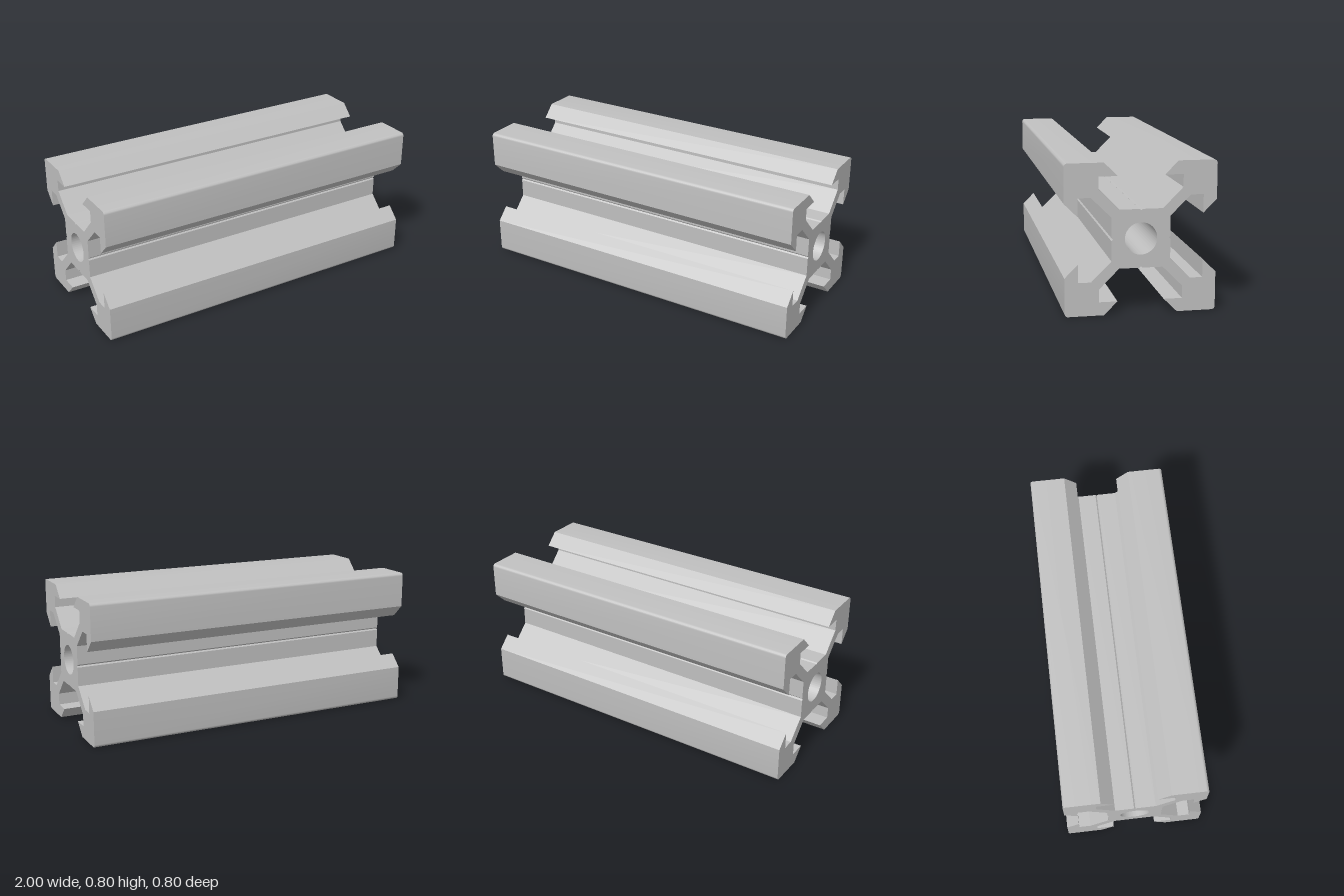
import * as THREE from 'three';
import { toCreasedNormals } from 'three/addons/utils/BufferGeometryUtils.js';

const LENGTH = 2, HALF = 0.4, FILLET = 0.018, BORE = 0.085;

// Half of one quarter of the section: from the groove on the core to the slot lip
const HALF_QUARTER = [
  [0.008, 0.155], [0.115, 0.155], [0.221, 0.262],
  [0.221, 0.329], [0.123, 0.329], [0.194, HALF],
];

function quarterOutline() {
  const corner = [];
  const c = HALF - FILLET, steps = 6;
  for (let i = 0; i <= steps; i++) {
    const a = (Math.PI / 2) * (1 - i / steps);
    corner.push([c + FILLET * Math.cos(a), c + FILLET * Math.sin(a)]);
  }
  const mirrored = HALF_QUARTER.map(([u, v]) => [v, u]).reverse();
  return [[0, 0.148], ...HALF_QUARTER, ...corner, ...mirrored];
}

function sectionShape() {
  // Repeat the quarter four times around the centre
  const points = [];
  let quarter = quarterOutline();
  for (let k = 0; k < 4; k++) {
    points.push(...quarter.map(([u, v]) => new THREE.Vector2(u, v)));
    quarter = quarter.map(([u, v]) => [v, -u]);
  }
  const shape = new THREE.Shape(points);

  // Central bore
  const bore = new THREE.Path();
  bore.absarc(0, 0, BORE, 0, Math.PI * 2, false);
  shape.holes.push(bore);
  return shape;
}

export function createModel() {
  const aluminium = new THREE.MeshStandardMaterial({ color: 0xc0c0c0 });
  aluminium.name = 'aluminium';

  // Slotted rail, extruded and laid along x
  let geometry = new THREE.ExtrudeGeometry(sectionShape(), {
    depth: LENGTH, bevelEnabled: false, curveSegments: 48,
  });
  geometry.translate(0, 0, -LENGTH / 2);
  geometry.rotateY(Math.PI / 2);
  geometry.translate(0, HALF, 0);
  geometry.clearGroups();
  geometry = toCreasedNormals(geometry, 0.4);

  const rail = new THREE.Mesh(geometry, aluminium);
  rail.name = 'slottedRail';

  const model = new THREE.Group();
  model.name = 'extrusionProfile';
  model.add(rail);
  return model;
}
